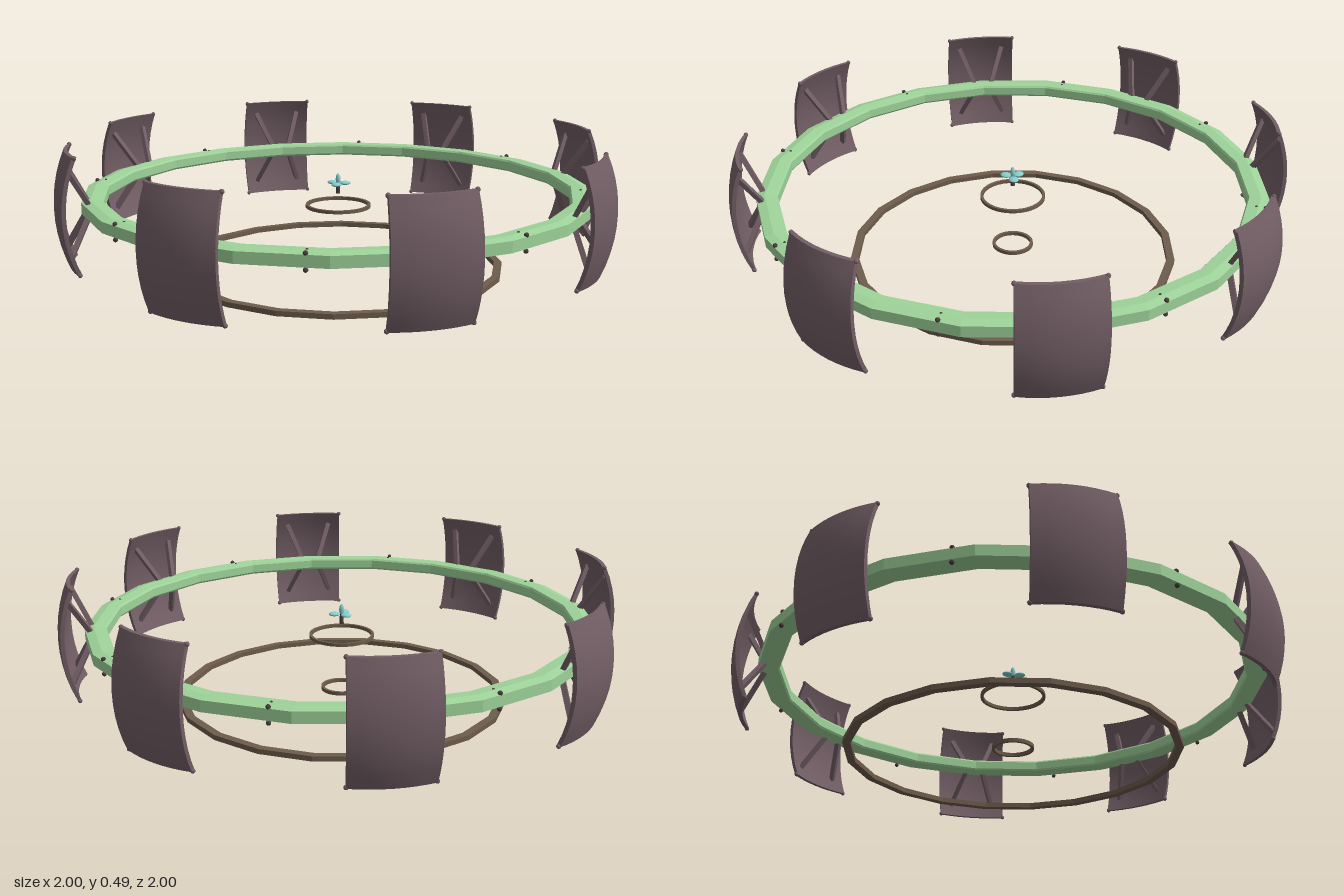
import * as THREE from 'three';

const mat = (color, flatShading = false) => {
  const m = new THREE.MeshStandardMaterial({ flatShading });
  m.color.set(color);
  return m;
};
const green = mat(0x9fd49a, true);
const brown = mat(0x6e5c4c, true);
const plum = mat(0x735f66);
const teal = mat(0x86cfcf);
const dark = mat(0x4a3c3c);
const MID = 0.28; // height of the main ring

function add(parent, name, geometry, material, x = 0, y = 0, z = 0) {
  const mesh = new THREE.Mesh(geometry, material);
  mesh.name = name;
  mesh.position.set(x, y, z);
  parent.add(mesh);
  return mesh;
}

// Closed ring from a section listed outer side upwards, then inner side down
function ring(parent, name, section, sides, material) {
  const pts = [...section, section[0]].map(([r, y]) => new THREE.Vector2(r, y));
  return add(parent, name, new THREE.LatheGeometry(pts, sides), material);
}
const boxSection = (r0, r1, y0, y1) => [[r1, y0], [r1, y1], [r0, y1], [r0, y0]];

// Drop of a dished panel behind its centre (sphere of radius 0.5)
const dish = (x, y) => Math.sqrt(0.25 - x * x - y * y) - 0.5;
const bulge = (x, y) => x * (1 + 0.04 * (1 - (y / 0.2) ** 2));

function panelGeometry() {
  const g = new THREE.BoxGeometry(0.27, 0.4, 0.014, 8, 10, 1);
  const p = g.attributes.position;
  for (let i = 0; i < p.count; i++) {
    const x = p.getX(i), y = p.getY(i);
    p.setX(i, bulge(x, y));
    p.setZ(i, p.getZ(i) - 0.007 + dish(x, y));
  }
  g.computeVertexNormals();
  return g;
}

// Square bar between two points
function strut(parent, a, b) {
  const dir = b.clone().sub(a);
  const mesh = add(parent, 'strut', new THREE.BoxGeometry(0.018, dir.length(), 0.016), plum);
  mesh.position.copy(a).add(b).multiplyScalar(0.5);
  mesh.quaternion.setFromUnitVectors(new THREE.Vector3(0, 1, 0), dir.normalize());
}

export function createModel() {
  const model = new THREE.Group();
  model.name = 'ringStation';

  // Main ring with chamfered outer edges
  ring(model, 'mainRing', [
    [0.88, 0.254], [0.91, 0.26], [0.91, 0.298], [0.88, 0.305],
    [0.84, 0.302], [0.835, 0.295], [0.835, 0.264], [0.84, 0.257],
  ], 20, green);

  // Base ring and the two small central rings
  ring(model, 'baseRing', boxSection(0.572, 0.6, 0, 0.018), 20, brown);
  ring(model, 'lowerHubRing', boxSection(0.065, 0.075, 0.021, 0.034), 32, brown);
  ring(model, 'upperHubRing', boxSection(0.108, 0.118, 0.223, 0.235), 32, brown);

  // Dished panels on four struts each, with studs between them on the ring
  const panelGeo = panelGeometry();
  const knob = new THREE.SphereGeometry(0.008, 10, 8);
  for (let i = 0; i < 8; i++) {
    const arm = new THREE.Group();
    arm.name = 'panelArm';
    arm.rotation.y = i * Math.PI / 4;
    model.add(arm);
    add(arm, 'panel', panelGeo, plum, 0, MID, 1);
    for (const sx of [-1, 1]) for (const sy of [-1, 1]) {
      strut(arm,
        new THREE.Vector3(sx * 0.035, MID + sy * 0.015, 0.885),
        new THREE.Vector3(sx * 0.09, MID + sy * 0.15, 0.957));
      add(arm, 'cornerKnob', knob, plum,
        sx * 0.134, MID + sy * 0.198, 0.993 + dish(0.134, 0.198));
    }
    const studs = new THREE.Group();
    studs.name = 'ringStuds';
    studs.rotation.y = (i + 0.5) * Math.PI / 4;
    model.add(studs);
    for (const y of [0.252, 0.302]) add(studs, 'stud', knob, dark, 0, y, 0.897);
    add(studs, 'innerStud', new THREE.SphereGeometry(0.005, 8, 6), dark, 0, 0.303, 0.865);
  }

  // Central rotor: spindle and three flat oval blades
  const rotor = new THREE.Group();
  rotor.name = 'rotor';
  rotor.position.y = 0.31;
  model.add(rotor);
  add(rotor, 'spindle', new THREE.CylinderGeometry(0.006, 0.008, 0.05, 12), dark, 0, -0.012, 0);
  add(rotor, 'spinner', new THREE.SphereGeometry(0.009, 12, 10), teal, 0, 0.015, 0).scale.y = 2.4;
  for (let i = 0; i < 3; i++) {
    const a = i * Math.PI * 2 / 3;
    const blade = add(rotor, 'blade', new THREE.SphereGeometry(0.02, 16, 10), teal,
      0.026 * Math.cos(a), 0, -0.026 * Math.sin(a));
    blade.rotation.y = a;
    blade.scale.set(1.05, 0.35, 0.9);
  }
  return model;
}
